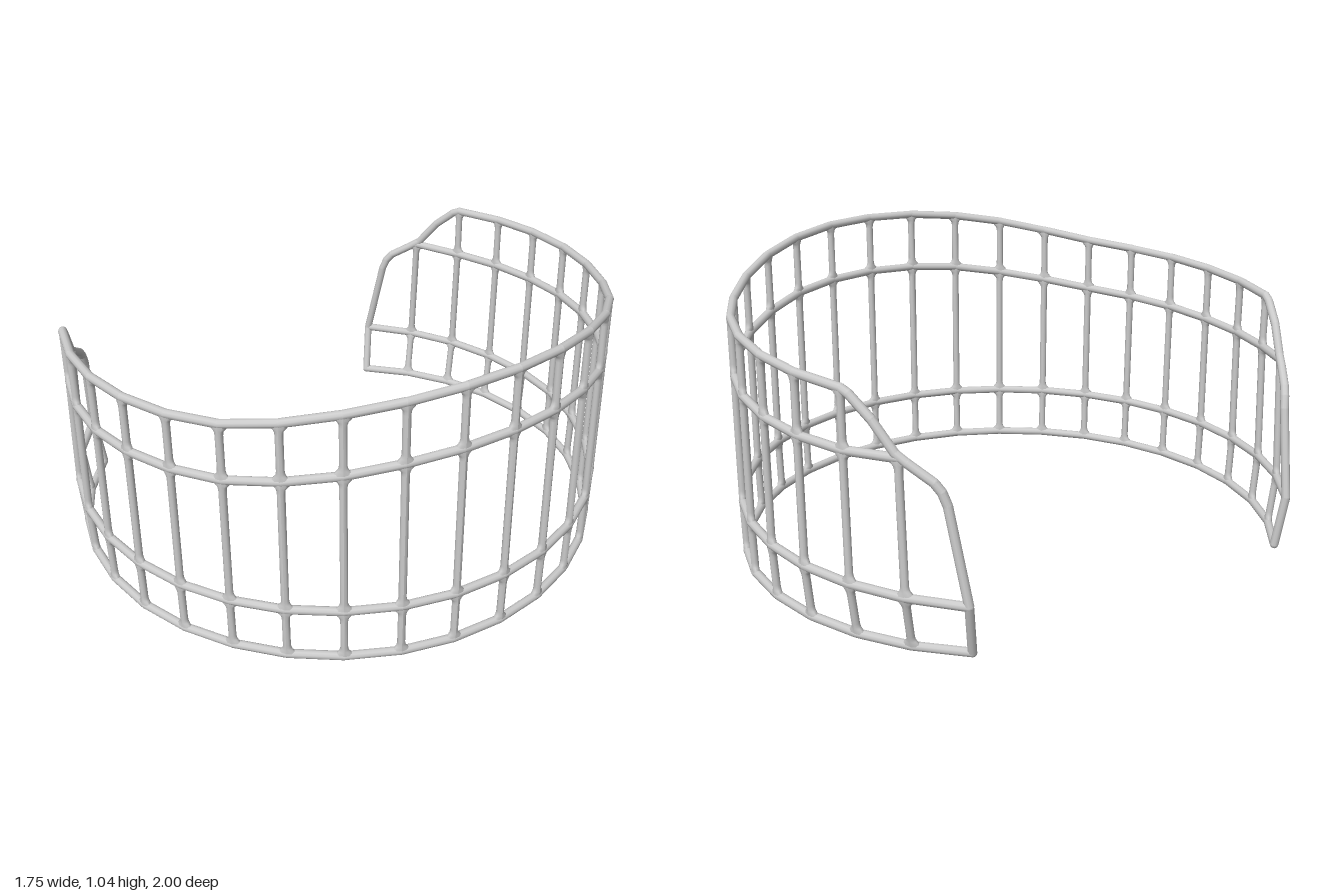
import * as THREE from 'three';
import { mergeGeometries } from 'three/addons/utils/BufferGeometryUtils.js';

const R = 0.984, CX = -0.128, STEP = Math.PI / 16, RAIL = 0.0155, POST = 0.0135;

// heights of the four rails at post 0 (middle of the arc) to post 12 (open ends)
const rails = [
  { name: 'bottomRail', last: 12, y: () => 0.0165 },
  { name: 'lowerRail', last: 12, y: k => 0.205 + 0.012 * Math.max(0, 1 - k / 9) },
  { name: 'upperRail', last: 11, y: k => [0.8, 0.795, 0.78, 0.752, 0.722, 0.695, 0.681, 0.669, 0.657, 0.65, 0.647, 0.655][k] },
  { name: 'topRail', last: 10, y: k => [1.025, 1.02, 1.002, 0.973, 0.936, 0.903, 0.887, 0.876, 0.865, 0.855, 0.845][k] },
];

// a point on the drum wall; k counts posts, positive towards the front
function onWall(k, y, r = R) {
  const a = k * STEP;
  return new THREE.Vector3(CX + r * Math.cos(a), y, r * Math.sin(a));
}

// crossing of rail and post; the free ends bend out at the lower rail and in at the foot
function node(row, k) {
  const n = Math.abs(k), t = Math.max(0, (n - 7) / 5), y = rails[row].y(n);
  if (row > 1) return onWall(k, y);
  const inset = k > 0 ? 0.004 : 0.004 + 0.03 * t;
  return onWall(k * (1 + 0.011 * t), y, row === 1 ? R + 0.024 * t * t : R - inset);
}

// round bar along a chain of points, with a rounded joint at each
function chain(points) {
  const up = new THREE.Vector3(0, 1, 0);
  const parts = points.map(p => new THREE.SphereGeometry(RAIL, 10, 8).translate(p.x, p.y, p.z));
  for (let i = 1; i < points.length; i++) {
    const a = points[i - 1], d = points[i].clone().sub(a), L = d.length();
    const bar = new THREE.CylinderGeometry(RAIL, RAIL, L, 10, 1, true).translate(0, L / 2, 0);
    bar.applyQuaternion(new THREE.Quaternion().setFromUnitVectors(up, d.normalize()));
    parts.push(bar.translate(a.x, a.y, a.z));
  }
  return mergeGeometries(parts);
}

// upright bar that widens along the wall into a fillet at both rails
function postBar(a, b) {
  const up = b.clone().sub(a), L = up.length();
  const foot = [[0.034, 0], [0.026, 0.015], [0.018, 0.023], [0.0145, 0.032], [POST, 0.042]];
  const head = foot.map(([r, y]) => [r, L - y]).reverse();
  const g = new THREE.LatheGeometry([...foot, ...head].map(p => new THREE.Vector2(...p)), 10);
  const p = g.attributes.position;
  for (let i = 0; i < p.count; i++) {
    p.setZ(i, p.getZ(i) * POST / Math.hypot(p.getX(i), p.getZ(i)));
  }
  g.computeVertexNormals();
  up.normalize();
  const side = up.clone().cross(new THREE.Vector3(a.x - CX, 0, a.z)).normalize();
  const basis = new THREE.Matrix4().makeBasis(side, up, side.clone().cross(up));
  return g.applyMatrix4(basis.setPosition(a));
}

export function createModel() {
  const group = new THREE.Group();
  group.name = 'openRoundFence';
  const material = new THREE.MeshStandardMaterial({ color: 0xcccccc });
  const add = (name, geometry) => {
    const mesh = new THREE.Mesh(geometry, material);
    mesh.name = name;
    group.add(mesh);
  };

  // horizontal rails
  rails.forEach((rail, row) => {
    const points = [];
    for (let k = -rail.last; k <= rail.last; k++) points.push(node(row, k));
    add(rail.name, chain(points));
  });

  // upright posts; the outermost pair stops at the upper rail
  for (let k = -11; k <= 11; k++) {
    const bars = [];
    for (let row = 1; row < (Math.abs(k) > 10 ? 3 : 4); row++) {
      bars.push(postBar(node(row - 1, k), node(row, k)));
    }
    add('post', mergeGeometries(bars));
  }

  // sloping end frames, front and back
  for (const s of [1, -1]) {
    add(s > 0 ? 'frontEndFrame' : 'backEndFrame', chain([
      node(3, 10 * s),
      onWall(10.15 * s, 0.832),
      onWall(10.55 * s, 0.765),
      onWall(10.95 * s, 0.668),
      onWall(11.15 * s, 0.642),
      onWall(11.58 * s, 0.59),
      onWall(11.7 * s, 0.562),
      onWall(11.79 * s, 0.52),
      node(1, 12 * s),
      node(0, 12 * s),
    ]));
  }
  return group;
}
